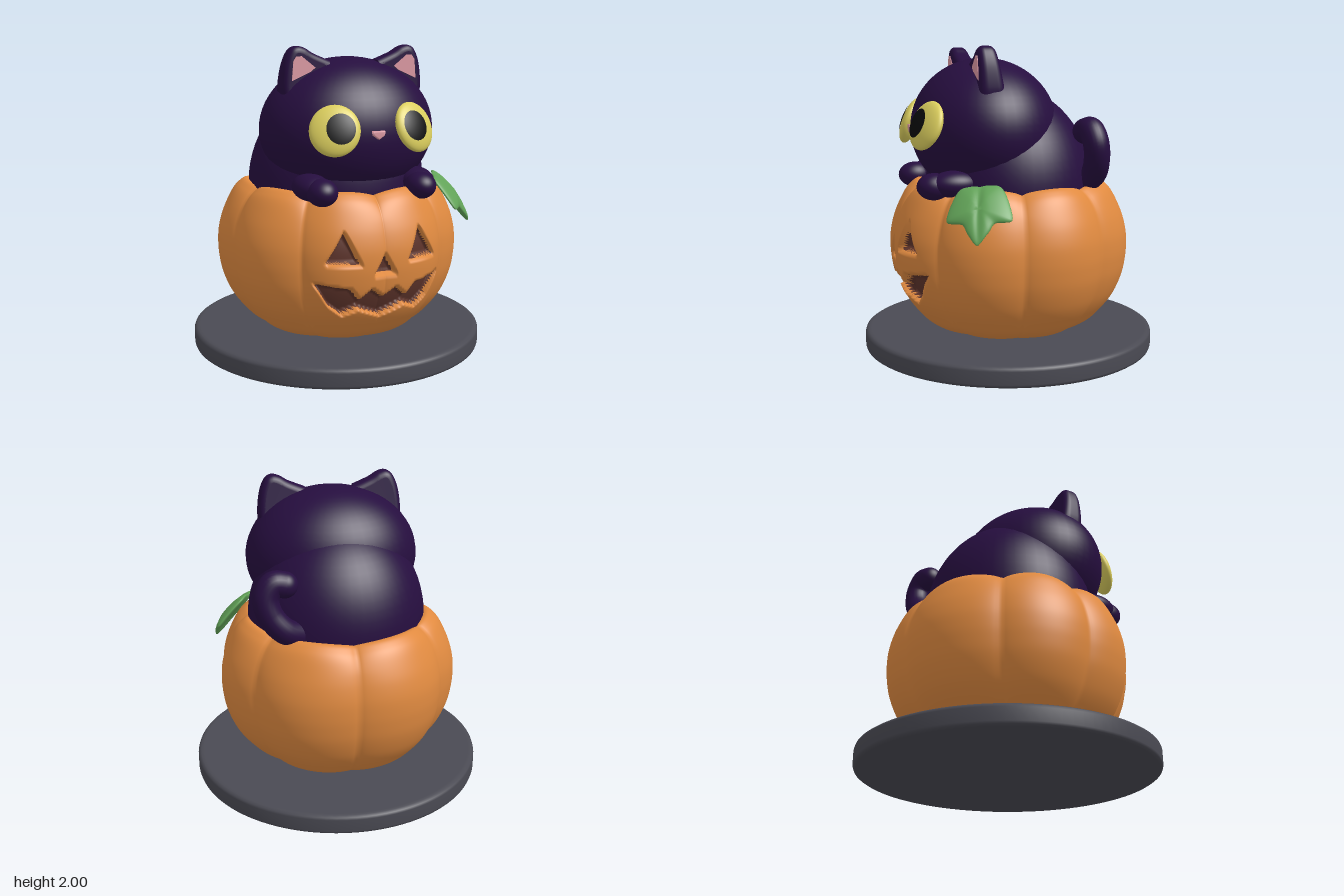
import * as THREE from 'three';
import { mergeVertices } from 'three/addons/utils/BufferGeometryUtils.js';
import { ParametricGeometry } from 'three/addons/geometries/ParametricGeometry.js';

const paint = (name, color) => Object.assign(new THREE.MeshStandardMaterial({ color }), { name });
const V2 = (p) => p.map(([x, y]) => new THREE.Vector2(x, y));
const V3 = (p) => p.map(([x, y, z = 0]) => new THREE.Vector3(x, y, z));
const { smoothstep, degToRad } = THREE.MathUtils;

// Weld a geometry and give it smooth normals
function smooth(geo) {
  geo.deleteAttribute('uv');
  geo.deleteAttribute('normal');
  const g = mergeVertices(geo);
  g.computeVertexNormals();
  return g;
}

// Signed distance to a polygon, negative inside
function polygonDistance(x, y, poly) {
  let best = Infinity, inside = false;
  for (let i = 0, j = poly.length - 1; i < poly.length; j = i++) {
    const [ax, ay] = poly[i], [bx, by] = poly[j];
    const ex = bx - ax, ey = by - ay;
    const t = THREE.MathUtils.clamp(((x - ax) * ex + (y - ay) * ey) / (ex * ex + ey * ey), 0, 1);
    best = Math.min(best, Math.hypot(x - ax - ex * t, y - ay - ey * t));
    if ((ay > y) !== (by > y) && x < ex * (y - ay) / ey + ax) inside = !inside;
  }
  return inside ? -best : best;
}

// Carved face outlines
const mirrorX = (poly) => poly.map(([x, y]) => [-x, y]);
const carvedEye = [[0.25, 0.905], [0.36, 0.72], [0.16, 0.715]];
const mouthHalf = [[0, 0.49], [0.08, 0.55], [0.155, 0.485], [0.21, 0.555], [0.415, 0.59],
  [0.33, 0.45], [0.25, 0.385], [0.155, 0.425], [0, 0.36]];
const carvings = [carvedEye, mirrorX(carvedEye), [[0, 0.765], [0.07, 0.64], [-0.07, 0.64]],
  [...mouthHalf, ...mirrorX(mouthHalf.slice(1, -1)).reverse()]];
const carveDistance = (x, y) => Math.min(...carvings.map((c) => polygonDistance(x, y, c)));

// Ribbed shell with a recessed face
function pumpkinGeometry() {
  const profile = new THREE.SplineCurve(V2([[0, 0.13], [0.3, 0.13], [0.45, 0.145], [0.56, 0.2], [0.64, 0.28],
    [0.7, 0.36], [0.74, 0.44], [0.77, 0.53], [0.785, 0.62], [0.79, 0.7], [0.785, 0.79], [0.765, 0.88],
    [0.735, 0.96], [0.69, 1.05], [0.65, 1.1], [0.6, 1.13], [0.55, 1.1], [0.52, 1.02], [0.5, 0.95]]));
  const creases = [0, 54, 98, 141, 180].map(degToRad);
  const point = new THREE.Vector2();
  const shell = (u, v, target) => {
    const theta = 2 * Math.PI * u + 0.65 * Math.sin(2 * Math.PI * u); // finer columns at the front
    const a = Math.min(Math.max(0, theta > Math.PI ? 2 * Math.PI - theta : theta), Math.PI);
    let k = 0;
    while (k < 3 && a > creases[k + 1]) k++;
    const t = (a - creases[k]) / (creases[k + 1] - creases[k]);
    const dip = 1 - Math.pow(Math.max(0, Math.sin(Math.PI * t)), 0.7);
    const depth = k === 3 && t > 0.5 ? 0.025 : 0.06;
    profile.getPoint(v, point);
    const r = point.x * (1.01 - depth * dip);
    const y = point.y - 0.035 * dip * smoothstep(point.y, 0.95, 1.13);
    const x = -r * Math.sin(theta);
    let z = -r * Math.cos(theta);
    if (z > 0.4 && y < 0.95) z -= 0.07 * (1 - smoothstep(carveDistance(x, y), -0.012, 0.012));
    target.set(x, y, z);
  };
  const geo = smooth(new ParametricGeometry(shell, 320, 108));

  // Split faces into skin and carved hollow
  const pos = geo.attributes.position, idx = geo.index.array, skin = [], hollow = [];
  for (let i = 0; i < idx.length; i += 3) {
    const tri = [idx[i], idx[i + 1], idx[i + 2]];
    const mean = (f) => tri.reduce((s, n) => s + f(n), 0) / 3;
    const x = mean((n) => pos.getX(n)), y = mean((n) => pos.getY(n)), z = mean((n) => pos.getZ(n));
    const carved = z > 0.35 && y < 0.95 && carveDistance(x, y) < -0.003;
    (carved ? hollow : skin).push(...tri);
  }
  geo.setIndex([...skin, ...hollow]);
  geo.clearGroups();
  geo.addGroup(0, skin.length, 0);
  geo.addGroup(skin.length, hollow.length, 1);
  return geo;
}

// Domed three-lobed leaf
function leafGeometry() {
  const outline = new THREE.CatmullRomCurve3(V3([[0, 0], [0.12, 0.01], [0.17, 0.1], [0.2, 0.23], [0.1, 0.265],
    [0.065, 0.33], [0.01, 0.4], [-0.06, 0.33], [-0.1, 0.27], [-0.2, 0.25], [-0.17, 0.1], [-0.12, 0.01]]),
  true, 'catmullrom', 0.4);
  return smooth(new ParametricGeometry((u, v, target) => {
    const s = Math.sin(Math.PI * v);
    outline.getPoint(u % 1, target);
    const x = target.x * s, y = 0.18 + (target.y - 0.18) * s;
    const vein = 0.012 * Math.exp(-Math.pow(x / 0.025, 2));
    target.set(x, y, -0.03 * Math.cos(Math.PI * v) - vein - 0.6 * x * x - 0.4 * (y - 0.15) ** 2);
  }, 72, 24));
}

function earGeometry() {
  const shape = new THREE.Shape();
  shape.moveTo(0.47, 1.65);
  shape.splineThru(V2([[0.48, 1.75], [0.465, 1.88], [0.43, 1.97], [0.385, 2.0], [0.33, 1.99], [0.27, 1.955], [0.16, 1.91]]));
  shape.lineTo(0.2, 1.65);
  const geo = new THREE.ExtrudeGeometry(shape, { depth: 0.05, bevelThickness: 0.05, bevelSize: 0.04,
    bevelOffset: -0.04, bevelSegments: 6, curveSegments: 32 });
  geo.translate(0, 0, 0.21);
  // Thicken towards the root, keeping the front flat
  const pos = geo.attributes.position;
  for (let i = 0; i < pos.count; i++) {
    pos.setZ(i, 0.31 - (0.31 - pos.getZ(i)) * (0.75 + 1.2 * (2 - pos.getY(i))));
  }
  return smooth(geo);
}

export function createModel() {
  const mat = {
    base: paint('slate grey', 0x4a4a53),
    orange: paint('pumpkin orange', 0xe08a40),
    brown: paint('carved brown', 0x5e342b),
    fur: paint('dark purple fur', 0x260e3f),
    yellow: paint('eye yellow', 0xdccf5e),
    black: paint('pupil black', 0x0b0b0c),
    pink: paint('soft pink', 0xdb98a2),
    green: paint('leaf green', 0x62a358),
  };
  const model = new THREE.Group();
  const add = (name, geo, material, parent = model) => {
    const mesh = new THREE.Mesh(geo, material);
    mesh.name = name;
    parent.add(mesh);
    return mesh;
  };
  const ball = (name, center, radii, material, parent) => {
    const mesh = add(name, new THREE.SphereGeometry(1, 48, 32), material, parent);
    mesh.position.set(...center);
    mesh.scale.set(...radii);
    return mesh;
  };

  // Base and pumpkin
  add('base', new THREE.LatheGeometry(V2([[0, 0], [0.93, 0], [0.95, 0], [0.965, 0.01], [0.97, 0.025], [0.97, 0.105],
    [0.965, 0.12], [0.95, 0.13], [0.93, 0.13], [0, 0.13]]), 96), mat.base);
  add('pumpkin', pumpkinGeometry(), [mat.orange, mat.brown]);

  // Leaf, laid on the left shoulder of the pumpkin
  const down = new THREE.Vector3(0.62, -0.75, 0.2).normalize();
  const out = new THREE.Vector3(-0.45, -0.05, 0.89).cross(down).normalize();
  const across = down.clone().cross(out);
  const leaf = add('leaf', leafGeometry(), mat.green);
  leaf.applyMatrix4(new THREE.Matrix4().makeBasis(across, down, out).setPosition(0.56, 1.165, 0.34));

  // Cat
  const cat = new THREE.Group();
  cat.name = 'cat';
  model.add(cat);
  ball('body', [0, 1.1, 0], [0.59, 0.64, 0.55], mat.fur, cat);
  ball('head', [0, 1.47, 0.17], [0.575, 0.46, 0.48], mat.fur, cat);

  const tailPath = new THREE.CatmullRomCurve3(V3([[0.28, 1.12, -0.38], [0.41, 1.18, -0.445], [0.5, 1.29, -0.44],
    [0.52, 1.4, -0.425], [0.47, 1.475, -0.41], [0.4, 1.465, -0.4]]));
  add('tail', new THREE.TubeGeometry(tailPath, 48, 0.083, 24), mat.fur, cat);
  ball('tailTip', [0.4, 1.465, -0.4], [0.083, 0.083, 0.083], mat.fur, cat);

  const noseShape = new THREE.Shape(V2([[-0.032, 1.495], [0.032, 1.495], [0.03, 1.48], [0, 1.46], [-0.03, 1.48]]));
  const nose = new THREE.ExtrudeGeometry(noseShape, { depth: 0.03, bevelThickness: 0.008, bevelSize: 0.008, bevelSegments: 3 });
  add('nose', smooth(nose.translate(0, 0, 0.635)), mat.pink, cat);

  const earLining = new THREE.Shape(V2([[0.425, 1.79], [0.415, 1.91], [0.395, 1.94], [0.36, 1.94], [0.27, 1.87], [0.3, 1.845]]));
  for (const side of [1, -1]) {
    const half = new THREE.Group();
    half.name = side > 0 ? 'leftSide' : 'rightSide';
    half.scale.x = side;
    cat.add(half);

    add('ear', earGeometry(), mat.fur, half);
    add('innerEar', new THREE.ExtrudeGeometry(earLining, { depth: 0.008, bevelEnabled: false }).translate(0, 0, 0.306), mat.pink, half);

    // Eye with the pupil as a cap just over its surface
    const eye = new THREE.Group();
    eye.name = 'eye';
    eye.position.set(0.265, 1.51, 0.605);
    eye.rotation.set(-0.36, 0.4, 0, 'YXZ');
    half.add(eye);
    ball('iris', [0, 0, 0], [0.155, 0.16, 0.055], mat.yellow, eye);
    const cap = new THREE.SphereGeometry(1, 40, 12, 0, 2 * Math.PI, 0, 0.62);
    cap.rotateX(Math.PI / 2).rotateY(-0.3).scale(0.158, 0.163, 0.06);
    add('pupil', smooth(cap), mat.black, eye);

    // Paw hooked over the rim
    ball('paw', [0.335, 1.135, 0.575], [0.095, 0.085, 0.11], mat.fur, half);
    ball('foreleg', [0.36, 1.15, 0.45], [0.11, 0.085, 0.16], mat.fur, half);
  }
  return model;
}
